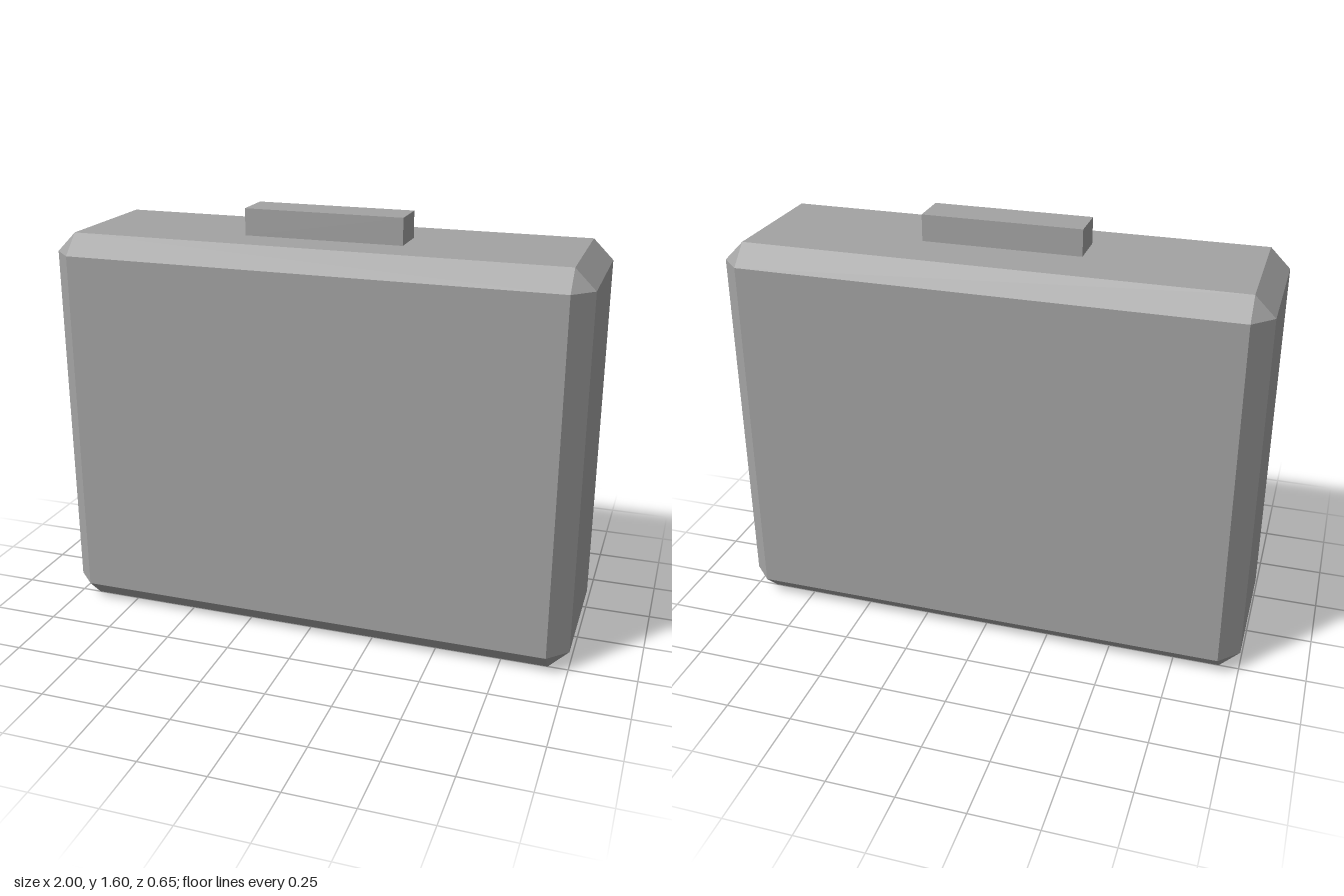
import * as THREE from 'three';
import { ConvexGeometry } from 'three/addons/geometries/ConvexGeometry.js';

// Box with every edge and corner cut off at 45 degrees
function chamferedBox(width, height, depth, cut) {
  const half = [width / 2, height / 2, depth / 2];
  const points = [];
  for (const sx of [-1, 1]) for (const sy of [-1, 1]) for (const sz of [-1, 1]) {
    const sign = [sx, sy, sz];
    for (let axis = 0; axis < 3; axis++) {
      const p = half.map((h, i) => sign[i] * (i === axis ? h : h - cut));
      points.push(new THREE.Vector3(...p));
    }
  }
  return new ConvexGeometry(points);
}

export function createModel() {
  const group = new THREE.Group();
  group.name = 'case';

  const grey = new THREE.MeshStandardMaterial({ color: 0xa3a3a3 });
  grey.name = 'grey';

  // Chamfered body
  const body = new THREE.Mesh(chamferedBox(2, 1.5, 0.65, 0.075), grey);
  body.name = 'body';
  body.position.y = 0.75;
  group.add(body);

  // Handle block on top, slightly forward of centre
  const handle = new THREE.Mesh(new THREE.BoxGeometry(0.6, 0.1, 0.15), grey);
  handle.name = 'handle';
  handle.position.set(0, 1.55, 0.025);
  group.add(handle);

  return group;
}
